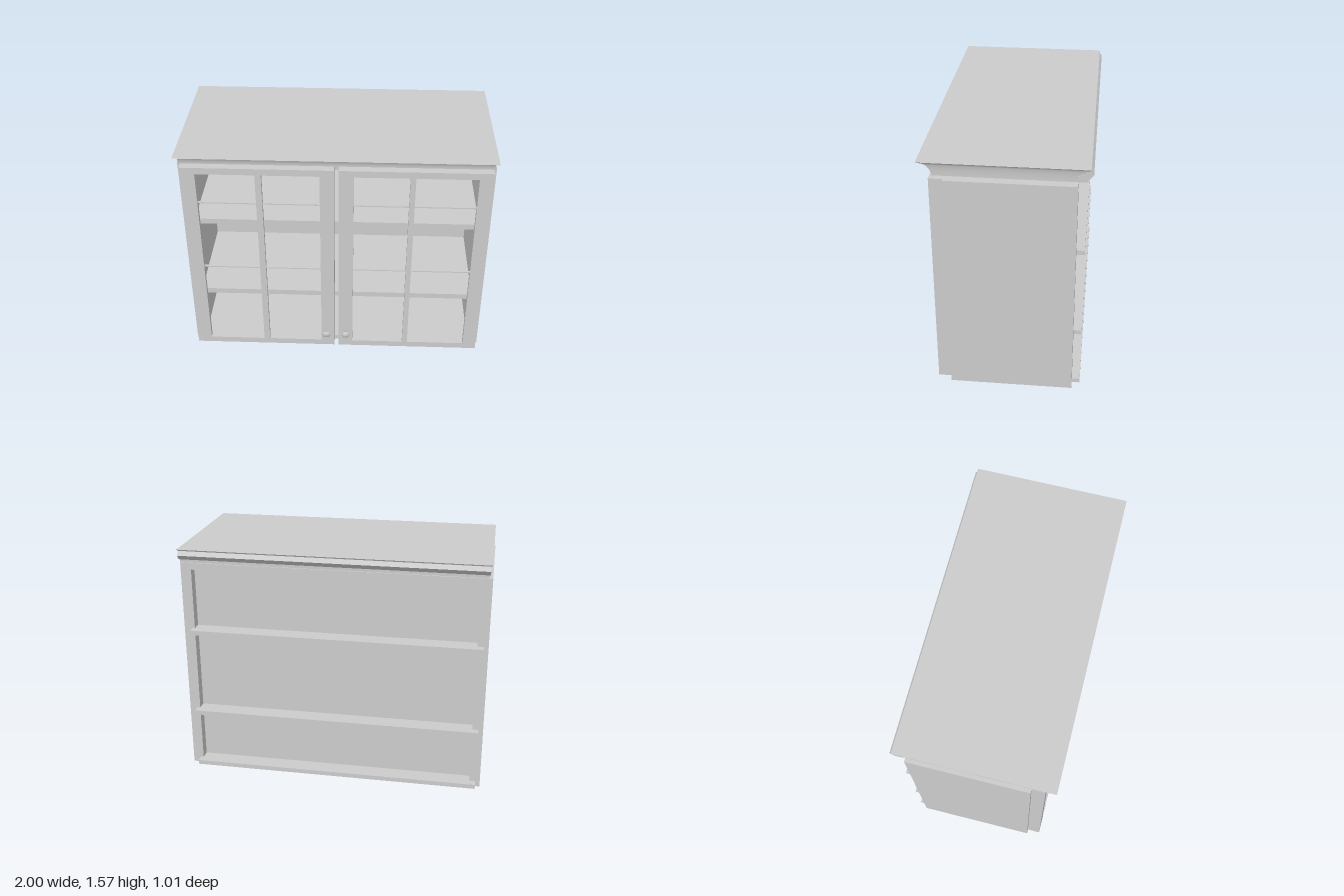
import * as THREE from 'three';

const grey = new THREE.MeshStandardMaterial({ color: 0xcccccc, side: THREE.DoubleSide });

// Box given by its extents on each axis
function block(parent, name, [x0, x1], [y0, y1], [z0, z1]) {
  const mesh = new THREE.Mesh(new THREE.BoxGeometry(x1 - x0, y1 - y0, z1 - z0), grey);
  mesh.position.set((x0 + x1) / 2, (y0 + y1) / 2, (z0 + z1) / 2);
  mesh.name = name;
  parent.add(mesh);
  return mesh;
}

function makeCarcass() {
  const g = new THREE.Group();
  g.name = 'carcass';
  const depth = [-0.425, 0.35];
  block(g, 'rightSidePanel', [-1, -0.93], [0, 1.46], depth);
  block(g, 'leftSidePanel', [0.93, 1], [0, 1.46], depth);
  block(g, 'topPanel', [-0.93, 0.93], [1.415, 1.46], depth);
  block(g, 'bottomPanel', [-0.93, 0.93], [0, 0.035], depth);
  block(g, 'backPanel', [-0.93, 0.93], [0.035, 1.415], [-0.36, -0.345]);
  // Shelves run through the back and stick out behind
  for (const y of [0.98, 0.395]) {
    block(g, 'shelf', [-0.93, 0.93], [y, y + 0.03], [-0.345, 0.345]);
    block(g, 'shelfLip', [-0.93, 0.93], [y + 0.03, y + 0.038], [0.33, 0.345]);
  }
  for (const y of [0.98, 0.395, 0.008]) {
    block(g, 'rearShelfEdge', [-0.97, 0.95], [y, y + 0.03], [-0.475, -0.36]);
  }
  return g;
}

// Framed door: perforated front, deep outer rim and thin cross bars
function makeDoor(name, x0, x1, panes) {
  const g = new THREE.Group();
  g.name = name;
  const [y0, y1, zBack, zFace, zFront] = [0.022, 1.46, 0.35, 0.405, 0.435];
  const rect = (Type, a, b, c, d) => new Type([
    new THREE.Vector2(a, b), new THREE.Vector2(c, b),
    new THREE.Vector2(c, d), new THREE.Vector2(a, d),
  ]);
  const shape = rect(THREE.Shape, x0, y0, x1, y1);
  for (const [a, b] of panes) shape.holes.push(rect(THREE.Path, a, 0.065, b, 1.415));
  const frame = new THREE.Mesh(
    new THREE.ExtrudeGeometry(shape, { depth: zFront - zFace, bevelEnabled: false }), grey);
  frame.position.z = zFace;
  frame.name = 'doorFrame';
  g.add(frame);

  const t = 0.03;
  block(g, 'rimStile', [x0, x0 + t], [y0, y1], [zBack, zFace]);
  block(g, 'rimStile', [x1 - t, x1], [y0, y1], [zBack, zFace]);
  block(g, 'rimRail', [x0 + t, x1 - t], [y0, y0 + t], [zBack, zFace]);
  block(g, 'rimRail', [x0 + t, x1 - t], [y1 - t, y1], [zBack, zFace]);
  for (const y of [1.2, 0.69]) {
    for (const pane of panes) block(g, 'crossBar', pane, [y - 0.004, y + 0.004], [0.415, 0.43]);
  }
  return g;
}

// Turned knob on a thin stem
function makeKnob(x) {
  const profile = [[0, 0], [0.012, 0], [0.008, 0.01], [0.01, 0.014], [0.026, 0.019],
    [0.027, 0.023], [0.018, 0.03], [0, 0.034]].map(([r, h]) => new THREE.Vector2(r, h));
  const knob = new THREE.Mesh(new THREE.LatheGeometry(profile, 24), grey);
  knob.rotation.x = Math.PI / 2;
  knob.position.set(x, 0.135, 0.435);
  knob.name = 'knob';
  return knob;
}

function makeCrown() {
  const g = new THREE.Group();
  g.name = 'crown';
  // Box whose walls flare outward along a cove curve
  const geo = new THREE.BoxGeometry(1, 1, 1, 1, 10, 1);
  const p = geo.attributes.position;
  for (let i = 0; i < p.count; i++) {
    const t = p.getY(i) + 0.5;
    const flare = 1 - Math.sqrt(Math.max(0, 1 - t * t));
    const front = p.getZ(i) > 0;
    p.setXYZ(i,
      Math.sign(p.getX(i)) * (0.978 + 0.016 * flare),
      1.48 + 0.085 * t,
      front ? 0.415 + 0.088 * flare : -0.48 - 0.015 * flare);
  }
  geo.computeVertexNormals();
  const cornice = new THREE.Mesh(geo, grey);
  cornice.name = 'cornice';
  g.add(cornice);

  // Small tilted moulding along the back edge
  const section = new THREE.Shape([[0.42, 1.515], [0.45, 1.495], [0.485, 1.5], [0.51, 1.53],
    [0.485, 1.56]].map(([z, y]) => new THREE.Vector2(z, y)));
  const moulding = new THREE.Mesh(
    new THREE.ExtrudeGeometry(section, { depth: 1.97, bevelEnabled: false }), grey);
  moulding.rotation.y = Math.PI / 2;
  moulding.position.x = -0.985;
  moulding.name = 'rearMoulding';
  g.add(moulding);
  return g;
}

export function createModel() {
  const model = new THREE.Group();
  model.name = 'wallCabinet';
  model.add(
    makeCarcass(),
    makeDoor('rightDoor', -0.975, -0.01, [[-0.88, -0.505], [-0.465, -0.1]]),
    makeDoor('leftDoor', 0.02, 0.98, [[0.115, 0.465], [0.5, 0.89]]),
    makeKnob(-0.065),
    makeKnob(0.07),
    makeCrown(),
  );
  return model;
}
